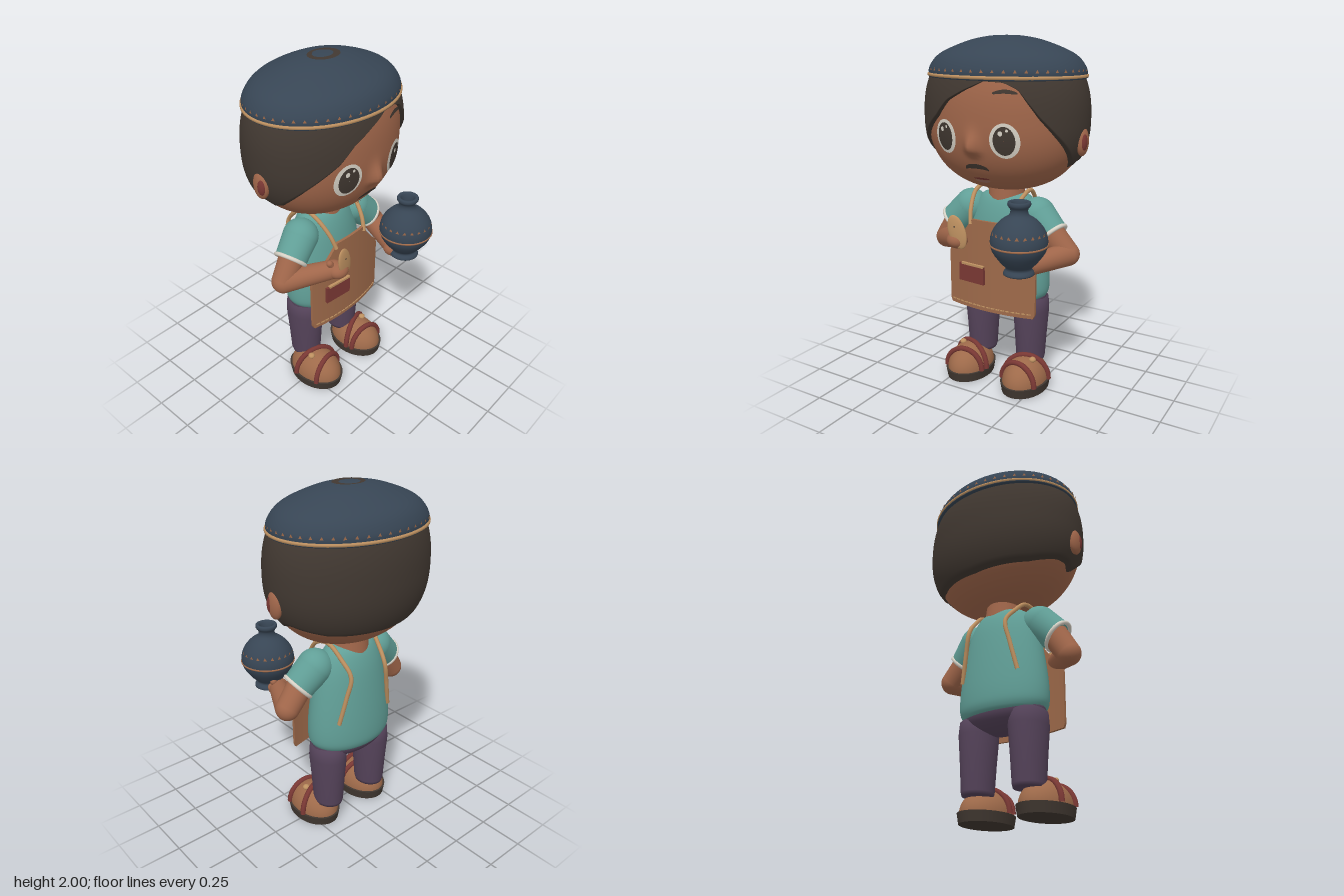
import * as THREE from 'three';
import { mergeGeometries } from 'three/addons/utils/BufferGeometryUtils.js';
import { ParametricGeometry } from 'three/addons/geometries/ParametricGeometry.js';

const mat = (name, color) => Object.assign(new THREE.MeshStandardMaterial({ color }), { name });
const V = (x, y, z) => new THREE.Vector3(x, y, z);

// piecewise linear lookup in [key, value] pairs
function lookup(table, k) {
  for (let i = 1; i < table.length; i++) {
    const [k0, v0] = table[i - 1], [k1, v1] = table[i];
    if (k <= k1) return v0 + (v1 - v0) * Math.max(0, (k - k0) / (k1 - k0));
  }
  return table[table.length - 1][1];
}

// head surface: egg shape with a nose bump
const HEAD_X = 0.465, HEAD_Z = -0.07;
const headFraction = y => {
  const t = y < 1.57 ? (1.57 - y) / 0.41 : (y - 1.57) / 0.45;
  return Math.pow(Math.max(1e-4, 1 - Math.pow(t, 2.4)), 1 / 2.2);
};
function headPoint(angle, y, off, target) {
  const f = headFraction(y), c = Math.cos(angle);
  const x = (HEAD_X * f + off) * Math.sin(angle);
  let z = HEAD_Z + (0.355 * f + off) * c;
  if (c > 0) z += 0.05 * Math.exp(-((x / 0.042) ** 2) - ((y - 1.43) / (y > 1.43 ? 0.07 : 0.035)) ** 2);
  return target.set(x, y, z);
}
const facePoint = (x, y, off, t) => {
  headPoint(Math.asin(x / (HEAD_X * headFraction(y))), y, 0, t);
  t.z += off;
};
const faceOval = (cx, cy, rx, ry, off) => new ParametricGeometry((u, v, t) => {
  const a = -u * Math.PI * 2, r = Math.max(v, 0.02);
  facePoint(cx + rx * r * Math.cos(a), cy + ry * r * Math.sin(a), off, t);
}, 28, 6);
const faceStroke = (x0, x1, yAt, halfWidth) => new ParametricGeometry((u, v, t) => {
  const w = halfWidth * (0.3 + 0.7 * Math.sqrt(Math.abs(Math.sin(Math.PI * u))));
  facePoint(x0 + (x1 - x0) * u, yAt(u) + (v * 2 - 1) * w, 0.007, t);
}, 16, 3);

// lower edge of the hair by angle from the front, in degrees
const HAIRLINE = [[-180, 1.285], [-130, 1.3], [-102, 1.335], [-90, 1.335], [-82, 1.31], [-75, 1.33], [-62, 1.4],
  [-46, 1.49], [-30, 1.58], [-19, 1.67], [-6, 1.725], [8, 1.775], [22, 1.77], [32, 1.735], [37, 1.68], [46, 1.59],
  [58, 1.5], [70, 1.42], [80, 1.35], [86, 1.31], [93, 1.335], [102, 1.335], [130, 1.3], [180, 1.285]];

// tapered limb with round ends
function limb(a, b, ra, rb) {
  const d = b.clone().sub(a);
  const g = mergeGeometries([
    new THREE.CylinderGeometry(rb, ra, d.length(), 28, 1, true).translate(0, d.length() / 2, 0),
    new THREE.SphereGeometry(ra, 28, 18),
    new THREE.SphereGeometry(rb, 28, 18).translate(0, d.length(), 0)]);
  g.applyQuaternion(new THREE.Quaternion().setFromUnitVectors(V(0, 1, 0), d.normalize()));
  return g.translate(a.x, a.y, a.z);
}
const ball = (x, y, z, rx, ry, rz) => new THREE.SphereGeometry(1, 36, 24).scale(rx, ry, rz).translate(x, y, z);
const lathe = pts => new THREE.LatheGeometry(
  new THREE.SplineCurve(pts.map(p => new THREE.Vector2(...p))).getPoints(48), 64);
const tube = (pts, r) => new THREE.TubeGeometry(new THREE.CatmullRomCurve3(pts), 40, r, 8);

// ring of small triangles facing outward
function marks(n, rx, rz, y, cz, size) {
  const o = new THREE.Object3D(), list = [];
  for (let i = 0; i < n; i++) {
    const a = i / n * Math.PI * 2;
    o.position.set(rx * Math.cos(a), y, rz * Math.sin(a));
    o.lookAt(Math.cos(a) / rx * 9, y, Math.sin(a) / rz * 9);
    o.updateMatrix();
    list.push(new THREE.CircleGeometry(size, 3).rotateZ(Math.PI / 2).applyMatrix4(o.matrix));
  }
  return mergeGeometries(list).translate(0, 0, cz);
}

export function createModel() {
  const root = new THREE.Group();
  const skin = mat('skin brown', 0xa0664a), leather = mat('apron brown', 0x9e6a4a), teal = mat('shirt teal', 0x619f97);
  const navy = mat('slate blue', 0x374554), dark = mat('dark brown', 0x413831), plum = mat('plum', 0x55435a);
  const maroon = mat('maroon', 0x7a3834), tan = mat('tan', 0xbd9060), white = mat('off white', 0xd8d2c6);
  const lip = mat('lip pink', 0xa07062);
  const add = (name, geo, m, parent = root) => {
    const mesh = new THREE.Mesh(geo, m);
    mesh.name = name;
    parent.add(mesh);
    return mesh;
  };
  const group = (name, x, y, z) => {
    const g = new THREE.Group();
    g.name = name;
    g.position.set(x, y, z);
    root.add(g);
    return g;
  };

  // head and hair
  add('head', new ParametricGeometry((u, v, t) =>
    headPoint(u * Math.PI * 2, 1.161 + 0.639 * (1 - Math.cos(v * Math.PI / 2)), 0, t), 160, 48), skin);
  add('hair', new ParametricGeometry((u, v, t) => {
    const deg = u * 360 - 180, low = lookup(HAIRLINE, deg);
    headPoint(deg * Math.PI / 180, low + (1.8 - low) * v, -0.004 + 0.024 * Math.min(1, v * 25), t);
  }, 144, 28), dark);

  // face and ears
  for (const s of [-1, 1]) {
    add('eyeWhite', faceOval(s * 0.18, 1.48, 0.077, 0.092, 0.006), white);
    add('pupil', faceOval(s * 0.18, 1.48, 0.056, 0.075, 0.01), dark);
    add('eyeGlint', faceOval(s * 0.18 - 0.015, 1.52, 0.012, 0.013, 0.014), white);
    add('eyeGlintSmall', faceOval(s * 0.18 + 0.018, 1.535, 0.007, 0.008, 0.014), white);
    add('ear', ball(s * 0.47, 1.46, -0.06, 0.03, 0.077, 0.05), skin);
    add('innerEar', ball(s * 0.482, 1.46, -0.045, 0.02, 0.05, 0.028), maroon);
  }
  add('eyebrow', faceStroke(0.115, 0.24, u => 1.718 + 0.01 * Math.sin(Math.PI * u), 0.01), dark);
  add('moustache', faceStroke(-0.072, 0.072, u => 1.313 + 0.02 * Math.sqrt(Math.abs(Math.sin(Math.PI * u))), 0.014), dark);
  add('upperLip', faceStroke(-0.05, 0.05, () => 1.256, 0.006), maroon);
  add('lowerLip', faceStroke(-0.045, 0.045, u => 1.243 - 0.005 * Math.sin(Math.PI * u), 0.009), lip);

  // beret
  add('beret', lathe([[0.001, 1.772], [0.6, 1.772], [0.97, 1.776], [1, 1.8], [0.985, 1.835], [0.9, 1.885],
    [0.75, 1.926], [0.45, 1.975], [0.2, 1.996], [0.001, 2]]).scale(0.455, 1, 0.358).translate(0, 0, -0.075), navy);
  const trim = [];
  for (let i = 0; i < 48; i++) {
    const a = i / 48 * Math.PI * 2;
    trim.push(V(0.453 * Math.cos(a), 1.792, -0.075 + 0.357 * Math.sin(a)));
  }
  add('beretTrim', new THREE.TubeGeometry(new THREE.CatmullRomCurve3(trim, true), 96, 0.01, 6, true), tan);
  add('beretStitches', marks(48, 0.456, 0.36, 1.823, -0.075, 0.011), leather);
  const patch = new THREE.Shape().absellipse(0, 0, 0.092, 0.075, 0, Math.PI * 2);
  patch.holes.push(new THREE.Path().absellipse(0, 0.025, 0.042, 0.035, 0, Math.PI * 2));
  add('beretPatch', new THREE.ShapeGeometry(patch, 24).rotateX(-Math.PI / 2).translate(0, 1.9985, -0.068), dark);

  // neck, shirt and hips
  add('neck', new THREE.CylinderGeometry(0.095, 0.112, 0.16, 32).translate(0, 1.14, -0.085), skin);
  add('shirt', lathe([[0.001, 0.518], [0.2, 0.52], [0.258, 0.55], [0.271, 0.63], [0.258, 0.78], [0.228, 0.95],
    [0.195, 1.05], [0.15, 1.115], [0.09, 1.14]]).scale(1, 1, 0.655).translate(0, 0, -0.083), teal);
  add('hips', ball(0, 0.535, -0.085, 0.255, 0.1, 0.145), plum);

  // legs and sandals
  for (const s of [-1, 1]) {
    add('trouserLeg', new THREE.LatheGeometry([[0.001, 0.13], [0.078, 0.13], [0.083, 0.15], [0.092, 0.3],
      [0.103, 0.45], [0.098, 0.52], [0.06, 0.56], [0.001, 0.57]].map(p => new THREE.Vector2(...p)), 36)
      .scale(1, 1, 1.15).translate(s * 0.165, 0, -0.088), plum);
    const foot = group('sandal', s * 0.19, 0, 0.02);
    add('sole', new THREE.CylinderGeometry(1, 0.94, 0.055, 48).scale(0.135, 1, 0.185).translate(0, 0.0275, 0), dark, foot);
    add('upper', new THREE.SphereGeometry(1, 40, 16, 0, Math.PI * 2, 0, Math.PI / 2)
      .scale(0.124, 0.138, 0.174).translate(0, 0.05, 0), leather, foot);
    [[0.085, 0.015], [-0.01, -0.04]].forEach(([z0, tilt]) => {
      const pts = [];
      for (let i = 0; i <= 12; i++) {
        const a = i / 12 * Math.PI, z = z0 + s * tilt * Math.cos(a), f = Math.sqrt(1 - (z / 0.18) ** 2);
        pts.push(V(0.13 * f * Math.cos(a), 0.055 + 0.137 * f * Math.sin(a), z));
      }
      add('sandalStrap', tube(pts, 0.016), maroon, foot);
    });
    add('buckle', ball(s * 0.05, 0.182, 0.01, 0.02, 0.016, 0.02), tan, foot);
  }

  // arms: shoulder, sleeve end, elbow, hand
  const arms = [
    { s: 1, elbow: V(0.41, 0.835, -0.045), hand: V(0.29, 0.815, 0.2) },
    { s: -1, elbow: V(-0.385, 0.82, -0.03), hand: V(-0.18, 0.885, 0.16) }];
  for (const { s, elbow, hand } of arms) {
    const shoulder = V(s * 0.22, 1.032, -0.05), cuff = V(s * 0.323, 0.935, -0.03);
    const dir = cuff.clone().sub(shoulder).normalize();
    const sleeve = new THREE.CylinderGeometry(0.09, 0.1, cuff.distanceTo(shoulder), 32)
      .applyQuaternion(new THREE.Quaternion().setFromUnitVectors(V(0, 1, 0), dir));
    const mid = cuff.clone().add(shoulder).multiplyScalar(0.5);
    add('sleeve', sleeve.translate(mid.x, mid.y, mid.z), teal);
    add('shoulder', ball(shoulder.x, shoulder.y, shoulder.z, 0.1, 0.1, 0.1), teal);
    const ring = add('cuff', new THREE.TorusGeometry(0.085, 0.012, 10, 36), white);
    ring.position.copy(cuff);
    ring.quaternion.setFromUnitVectors(V(0, 0, 1), dir);
    add('upperArm', limb(cuff.clone().addScaledVector(dir, -0.04), elbow, 0.074, 0.067), skin);
    add('forearm', limb(elbow, hand, 0.067, 0.053), skin);
    add('hand', ball(hand.x - s * 0.01, hand.y, hand.z + 0.02, 0.062, 0.048, 0.058), skin);
    add('thumb', limb(hand, hand.clone().add(V(s * 0.035, 0.055, 0)), 0.025, 0.018), skin);
  }

  // apron: a sheet narrowed at the bib and bent around the body
  const apron = new THREE.BoxGeometry(2, 1, 0.016, 20, 24, 1), p = apron.attributes.position;
  const WIDTH = [[0.465, 0.27], [0.48, 0.28], [0.79, 0.282], [0.83, 0.262], [0.87, 0.215], [0.94, 0.155], [1, 0.108]];
  const bend = x => 0.121 - 0.5 * x * x;
  for (let i = 0; i < p.count; i++) {
    const y = 0.465 + 0.535 * (p.getY(i) + 0.5), x = p.getX(i) * lookup(WIDTH, y);
    p.setXYZ(i, x, y, p.getZ(i) + bend(x));
  }
  apron.computeVertexNormals();
  add('apron', apron, leather);
  const stitches = [];
  for (let i = 0; i < 17; i++) {
    const x = -0.248 + i * 0.031;
    stitches.push(new THREE.BoxGeometry(0.024, 0.006, 0.006).rotateY(x).translate(x, 0.49, bend(x) + 0.009));
  }
  add('apronStitches', mergeGeometries(stitches), tan);
  add('pocket', new THREE.BoxGeometry(0.175, 0.105, 0.024).rotateY(-0.108).translate(-0.108, 0.678, 0.122), maroon);
  add('pocketTrim', new THREE.BoxGeometry(0.155, 0.012, 0.03).rotateY(-0.108).translate(-0.1, 0.732, 0.124), tan);
  for (const s of [-1, 1]) {
    add('apronStrap', tube([V(s * 0.118, 0.97, 0.123), V(s * 0.135, 1.05, 0.09), V(s * 0.155, 1.14, 0.005),
      V(s * 0.152, 1.158, -0.09), V(s * 0.138, 1.09, -0.175), V(s * 0.125, 1.005, -0.24),
      V(s * 0.15, 0.88, -0.232), V(s * 0.185, 0.72, -0.212)], 0.012), tan);
  }

  // oval scraper held in the right hand
  const tool = group('scraper', -0.15, 0.94, 0.21);
  tool.rotation.set(0, 0.15, 0.3);
  add('scraperBlade', ball(0, 0, 0, 0.053, 0.1, 0.016), tan, tool);
  add('scraperHole', ball(0, 0.035, 0, 0.009, 0.009, 0.018), dark, tool);

  // vase in the left hand
  const vase = group('vase', 0.29, 0, 0.293);
  add('vaseBody', lathe([[0.001, 0.8], [0.074, 0.8], [0.08, 0.815], [0.068, 0.838], [0.098, 0.87], [0.14, 0.93],
    [0.15, 0.985], [0.135, 1.04], [0.095, 1.09], [0.052, 1.12], [0.046, 1.15], [0.06, 1.17], [0.058, 1.188],
    [0.042, 1.187], [0.034, 1.16], [0.03, 1.12], [0.001, 1.11]]), navy, vase);
  add('vaseBand', new THREE.TorusGeometry(0.148, 0.006, 8, 64).rotateX(Math.PI / 2).translate(0, 0.965, 0), leather, vase);
  add('vaseMarks', marks(22, 0.143, 0.143, 1.03, 0, 0.012), leather, vase);
  return root;
}
